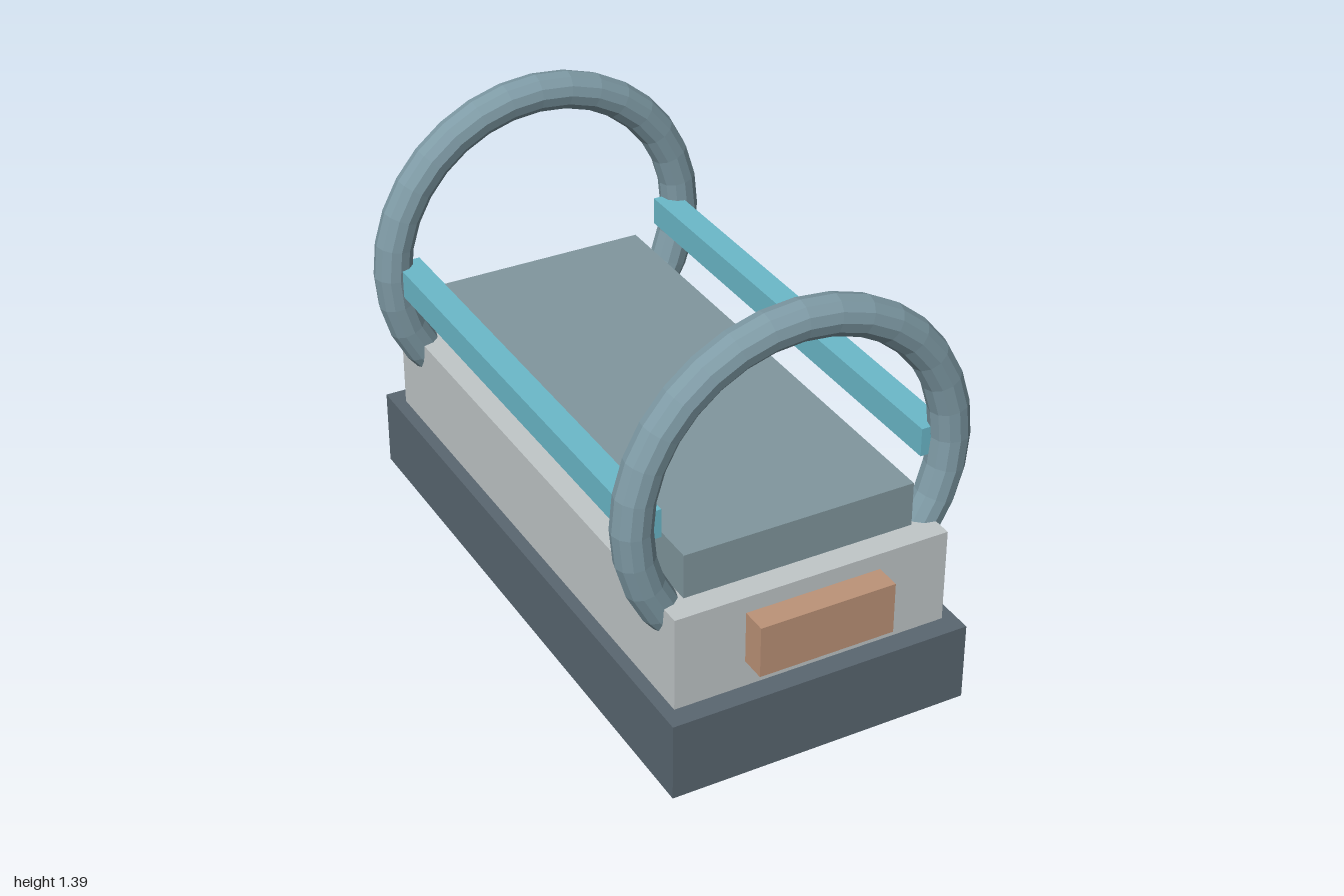
import * as THREE from 'three';

const mat = (name, color, flatShading = false) => {
  const m = new THREE.MeshStandardMaterial({ color });
  m.name = name;
  m.flatShading = flatShading;
  return m;
};

export function createModel() {
  const slate = mat('dark slate', 0x5a6771);
  const paleGrey = mat('pale grey', 0xc1c7c9);
  const padGrey = mat('blue grey', 0x81979e);
  const steel = mat('steel blue', 0x7f9ba6, true);
  const cyan = mat('cyan', 0x6bb9ca);
  const copper = mat('copper', 0xbd9378);

  const model = new THREE.Group();
  model.name = 'cradleBed';
  const midZ = -0.0075; // the front panel shifts the body slightly back

  const add = (name, geometry, material, x, y, z) => {
    const mesh = new THREE.Mesh(geometry, material);
    mesh.name = name;
    mesh.position.set(x, y, z);
    model.add(mesh);
  };
  // box given by its bottom and top heights
  const box = (name, material, w, y0, y1, d, x = 0, z = midZ) =>
    add(name, new THREE.BoxGeometry(w, y1 - y0, d), material, x, (y0 + y1) / 2, z);

  // stacked bed
  box('base', slate, 0.976, 0, 0.255, 1.985);
  box('body', paleGrey, 0.894, 0.255, 0.563, 1.85);
  box('pad', padGrey, 0.75, 0.563, 0.707, 1.69);

  // control panel on the front
  box('frontPanel', copper, 0.44, 0.342, 0.51, 0.09, 0, 0.955);

  // side rails joining the hoops
  for (const s of [1, -1]) {
    box(s > 0 ? 'leftRail' : 'rightRail', cyan, 0.084, 0.759, 0.851, 1.605, s * 0.464);
  }

  // end hoops, sunk into the body
  for (const s of [1, -1]) {
    add(s > 0 ? 'frontHoop' : 'backHoop', new THREE.TorusGeometry(0.515, 0.0615, 12, 32),
      steel, 0, 0.815, midZ + s * 0.803);
  }
  return model;
}
